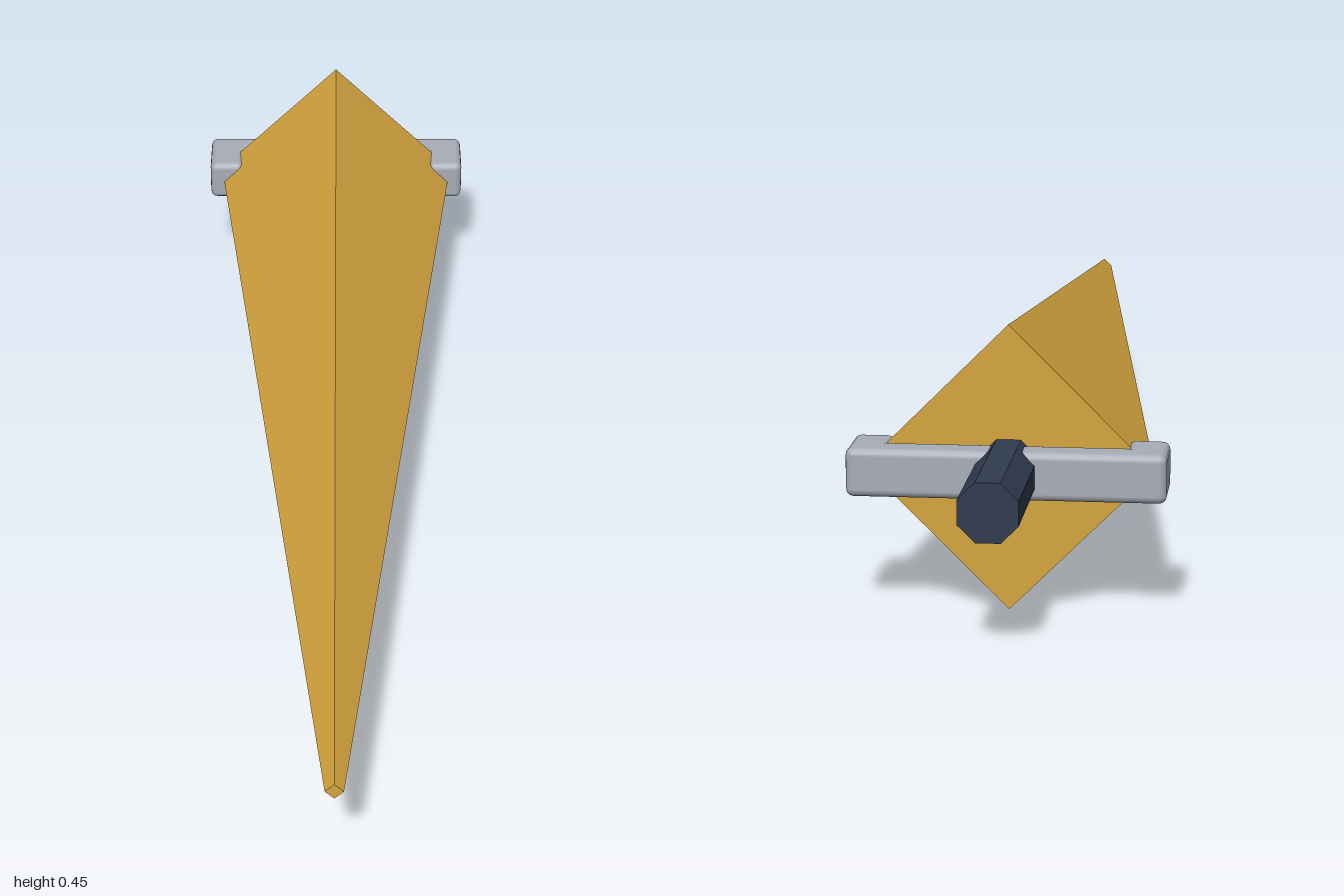
import * as THREE from 'three';
import { RoundedBoxGeometry } from 'three/addons/geometries/RoundedBoxGeometry.js';

const CENTER_Y = 0.224;

function material(name, color) {
  const m = new THREE.MeshStandardMaterial({ color });
  m.name = name;
  return m;
}

export function createModel() {
  const model = new THREE.Group();
  model.name = 'taperedSpike';

  const gold = material('gold', 0xd6a53e);
  const steel = material('steel', 0xa9adb8);
  const navy = material('darkNavy', 0x303b4e);

  function add(name, geometry, mat, x, z) {
    const mesh = new THREE.Mesh(geometry, mat);
    mesh.name = name;
    mesh.position.set(x, CENTER_Y, z);
    model.add(mesh);
  }

  // Long diamond-section spike, tapering towards the front
  const spike = new THREE.CylinderGeometry(0.0145, 0.2235, 1.735, 4)
    .rotateX(Math.PI / 2).toNonIndexed();
  spike.computeVertexNormals();
  add('spike', spike, gold, 0, 0.1325);

  // Octagonal rear shaft with a flat on top
  const shaft = new THREE.CylinderGeometry(0.0487, 0.0487, 0.27, 8)
    .rotateY(Math.PI / 8).rotateX(Math.PI / 2).toNonIndexed();
  shaft.computeVertexNormals();
  add('shaft', shaft, navy, 0, -0.865);

  // U-shaped bracket: back bar and two arms hooking the side corners
  add('bracketBar', new RoundedBoxGeometry(0.488, 0.076, 0.055, 2, 0.012), steel, 0, -0.7625);
  for (const side of [-1, 1]) {
    add(side > 0 ? 'leftBracketArm' : 'rightBracketArm',
      new RoundedBoxGeometry(0.064, 0.076, 0.105, 2, 0.012), steel, side * 0.212, -0.7375);
  }

  return model;
}
